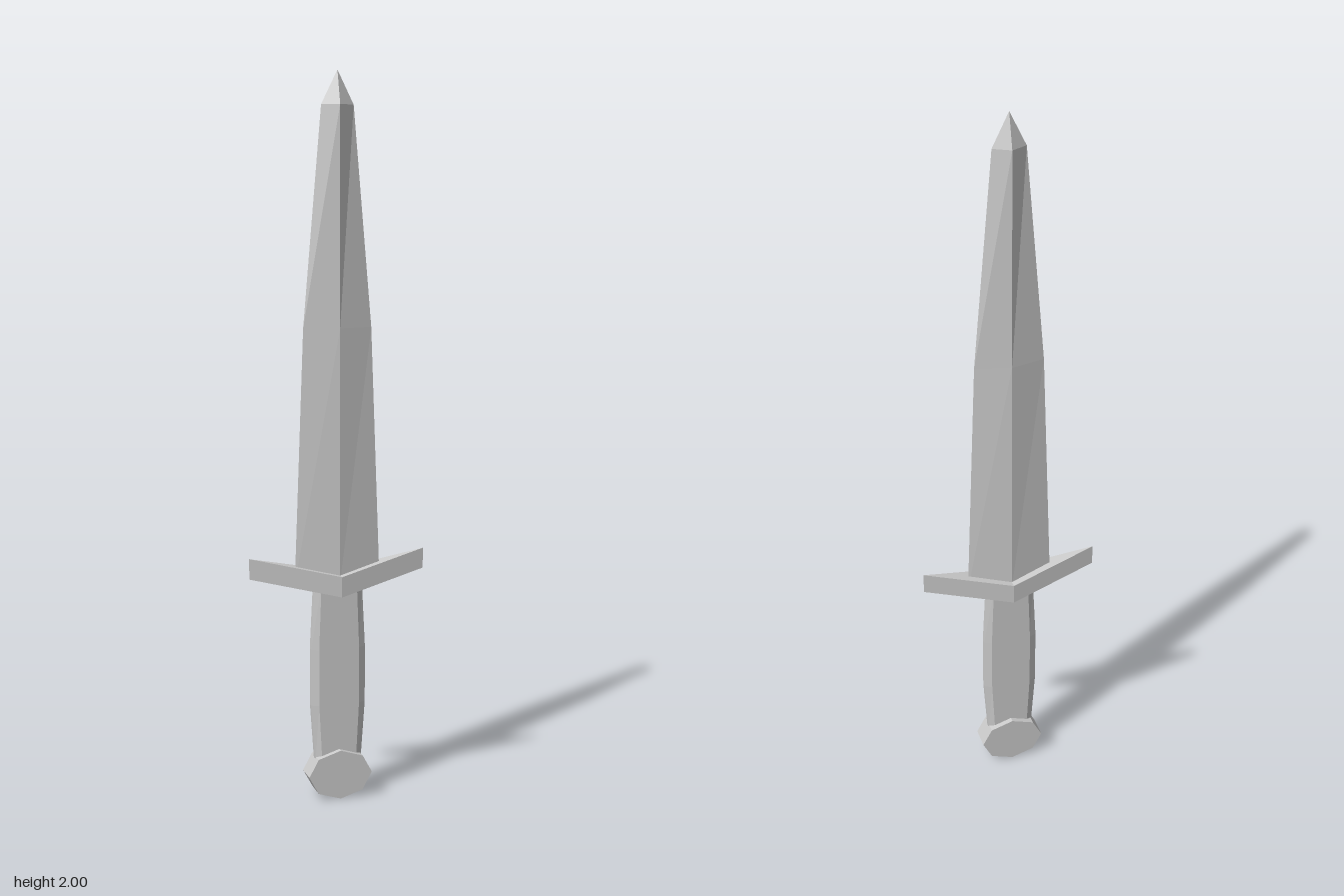
import * as THREE from 'three';

const material = new THREE.MeshStandardMaterial({ color: 0xcccccc, flatShading: true });

// Skins a stack of rings (bottom to top, counter-clockwise from above) and caps both ends.
function loft(rings) {
  const positions = [];
  const tri = (a, b, c) => {
    if (new THREE.Triangle(a, b, c).getArea() < 1e-9) return;
    for (const p of [a, b, c]) positions.push(p.x, p.y, p.z);
  };
  const n = rings[0].length;
  for (let i = 0; i < rings.length - 1; i++) {
    const lo = rings[i], hi = rings[i + 1];
    for (let j = 0; j < n; j++) {
      const k = (j + 1) % n;
      tri(lo[j], lo[k], hi[k]);
      tri(lo[j], hi[k], hi[j]);
    }
  }
  const bottom = rings[0], top = rings[rings.length - 1];
  for (let j = 1; j < n - 1; j++) {
    tri(bottom[0], bottom[j + 1], bottom[j]);
    tri(top[0], top[j], top[j + 1]);
  }
  const geometry = new THREE.BufferGeometry();
  geometry.setAttribute('position', new THREE.Float32BufferAttribute(positions, 3));
  geometry.computeVertexNormals();
  return geometry;
}

const v = (x, y, z) => new THREE.Vector3(x, y, z);

// Diamond ring; the side points can sit higher than the middle ones.
const diamond = (y, x, z, sideY = y) => [v(0, y, z), v(x, sideY, 0), v(0, y, -z), v(-x, sideY, 0)];

// Flat octagonal ring with chamfered long edges.
function gripRing(y, w) {
  const inner = w * 0.74, z = 0.018, edge = 0.007;
  return [
    v(-inner, y, z), v(inner, y, z), v(w, y, edge), v(w, y, -edge),
    v(inner, y, -z), v(-inner, y, -z), v(-w, y, -edge), v(-w, y, edge),
  ];
}

export function createModel() {
  const group = new THREE.Group();
  const add = (name, geometry) => {
    const mesh = new THREE.Mesh(geometry, material);
    mesh.name = name;
    group.add(mesh);
    return mesh;
  };

  // Tapering blade with a central ridge and a short point
  add('blade', loft([
    diamond(0.62, 0.122, 0.026),
    diamond(1.32, 0.096, 0.026),
    diamond(1.91, 0.045, 0.026),
    diamond(2, 0, 0),
  ]));

  // Crossguard, swept up towards its pointed ends
  add('crossguard', loft([
    diamond(0.583, 0.25, 0.046, 0.64),
    diamond(0.64, 0.25, 0.046, 0.697),
  ]));

  // Grip, slightly swollen in the middle
  add('grip', loft([
    gripRing(0.1, 0.066),
    gripRing(0.27, 0.078),
    gripRing(0.43, 0.078),
    gripRing(0.61, 0.069),
  ]));

  // Octagonal disc pommel
  const pommel = add('pommel', new THREE.CylinderGeometry(0.07, 0.07, 0.067, 8)
    .rotateX(Math.PI / 2).scale(1.3, 1, 1));
  pommel.position.y = 0.07;

  return group;
}
